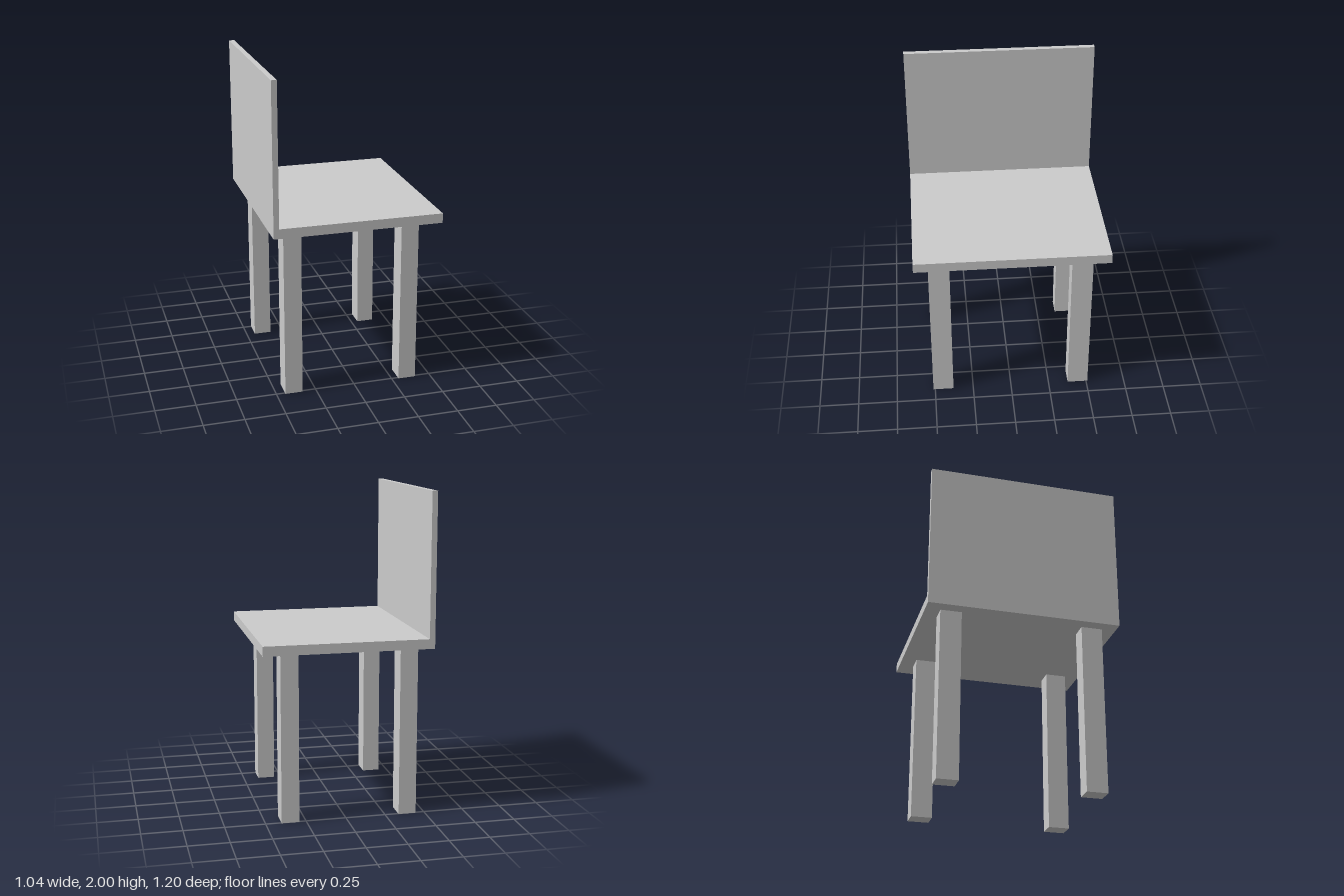
import * as THREE from 'three';

const material = new THREE.MeshStandardMaterial({ color: 0xcccccc, flatShading: true });

// Box given by its lower and upper limits on each axis
function slab(name, [x0, x1], [y0, y1], [z0, z1]) {
  const mesh = new THREE.Mesh(new THREE.BoxGeometry(x1 - x0, y1 - y0, z1 - z0), material);
  mesh.name = name;
  mesh.position.set((x0 + x1) / 2, (y0 + y1) / 2, (z0 + z1) / 2);
  return mesh;
}

export function createModel() {
  const chair = new THREE.Group();
  chair.name = 'chair';

  const seatBottom = 1.06, seatTop = 1.12, halfX = 0.522, halfZ = 0.6;

  // Seat board and the thin upright panel along its -x edge
  chair.add(slab('seat', [-halfX, halfX], [seatBottom, seatTop], [-halfZ, halfZ]));
  chair.add(slab('backrest', [-halfX, -0.488], [seatTop, 2], [-halfZ, halfZ]));

  // Four rectangular legs, set in from the seat edges
  const legX = { back: -0.39, front: 0.348 };
  const legZ = { Left: -0.443, Right: 0.446 };
  const halfW = 0.055, halfD = 0.066;
  for (const [end, x] of Object.entries(legX)) {
    for (const [side, z] of Object.entries(legZ)) {
      chair.add(slab(`${end}${side}Leg`, [x - halfW, x + halfW], [0, seatBottom], [z - halfD, z + halfD]));
    }
  }
  return chair;
}
